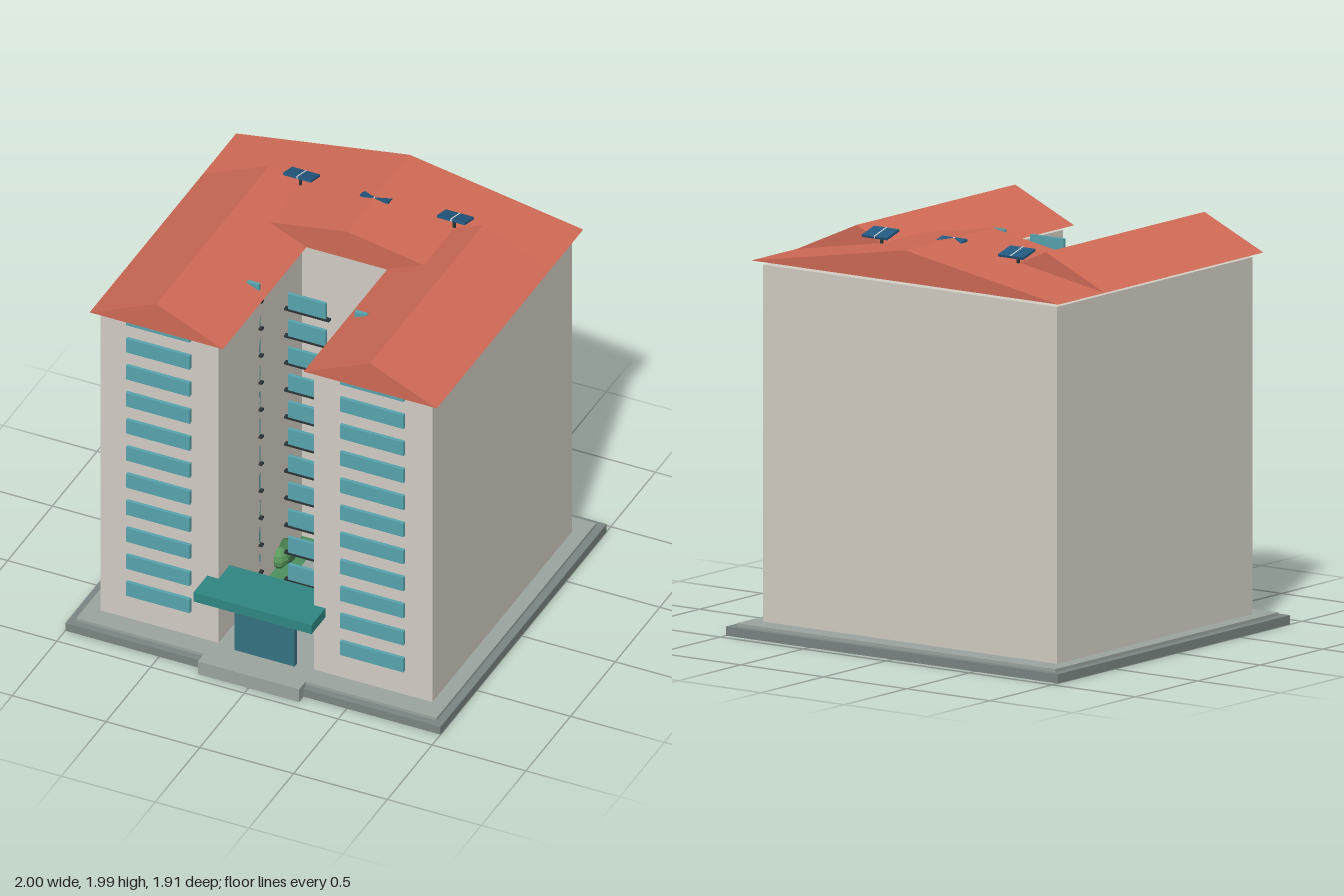
import * as THREE from 'three';

const mat = (color) => new THREE.MeshStandardMaterial({ color, flatShading: true });
const M = {
  wall: mat(0xd3cec5), roof: mat(0xd06a56), glass: mat(0x58a4ae), slab: mat(0x2c3436),
  base: mat(0x7b8683), paving: mat(0x9ca5a0), canopy: mat(0x2f8783), door: mat(0x357282),
  lawn: mat(0x4c9060), bush: mat(0x44794a), bushLight: mat(0x5a9a5c), gold: mat(0xcf9f4a),
  solar: mat(0x23587f), trim: mat(0xe4e8ea),
};

export function createModel() {
  const model = new THREE.Group();
  model.name = 'apartmentBlock';

  const add = (name, geometry, material, parent = model) => {
    const mesh = new THREE.Mesh(geometry, material);
    mesh.name = name;
    parent.add(mesh);
    return mesh;
  };
  // Box given by its limits on each axis
  const box = (name, material, [x0, x1], [y0, y1], [z0, z1], parent) => {
    const mesh = add(name, new THREE.BoxGeometry(x1 - x0, y1 - y0, z1 - z0), material, parent);
    mesh.position.set((x0 + x1) / 2, (y0 + y1) / 2, (z0 + z1) / 2);
    return mesh;
  };
  const polygon = (points) => new THREE.Shape(points.map(([x, y]) => new THREE.Vector2(x, y)));

  // Ground plates, entrance step and court lawn
  box('basePlate', M.base, [-1, 1], [0, 0.045], [-0.955, 0.905]);
  box('pavedPlate', M.paving, [-0.96, 0.96], [0.045, 0.06], [-0.92, 0.865]);
  box('entranceStep', M.paving, [-0.27, 0.27], [0, 0.075], [0.885, 0.955]);
  box('lawn', M.lawn, [-0.27, 0.27], [0.06, 0.09], [-0.2, 0.435]);

  // U-shaped building around the court, open to the front
  const plan = polygon([
    [-0.885, -0.755], [-0.255, -0.755], [-0.255, 0.18], [0.255, 0.18],
    [0.255, -0.755], [0.885, -0.755], [0.885, 0.81], [-0.885, 0.81],
  ]);
  const walls = add('walls', new THREE.ExtrudeGeometry(plan, { depth: 1.75, bevelEnabled: false }), M.wall);
  walls.rotation.x = -Math.PI / 2;
  walls.position.y = 0.06;

  // Gable roofs: a wide one at the back, one on each wing
  const gable = (name, x, halfWidth, z0, z1) => {
    const shape = polygon([[-halfWidth, 1.832], [halfWidth, 1.832], [0, 1.99]]);
    const roof = add(name, new THREE.ExtrudeGeometry(shape, { depth: z1 - z0, bevelEnabled: false }), M.roof);
    roof.position.set(x, 0, z0);
  };
  gable('backRoof', 0, 0.925, -0.85, -0.145);
  for (const s of [-1, 1]) gable('wingRoof', s * 0.57, 0.355, -0.48, 0.79);

  // Eleven floors: wing windows, glass panels and slabs in the court
  for (let i = 0; i < 11; i++) {
    const y = 0.24 + 0.16 * i;
    const floor = new THREE.Group();
    floor.name = 'floor' + (i + 1);
    model.add(floor);
    for (const s of [-1, 1]) {
      const span = (a, b) => (s > 0 ? [a, b] : [-b, -a]);
      box('wingWindow', M.glass, span(0.4, 0.74), [y - 0.038, y + 0.042], [0.75, 0.773], floor);
      box('sidePanel', M.glass, span(0.255, 0.32), [y - 0.045, y + 0.045], [0.285, 0.303], floor);
      box('sideSlab', M.slab, span(0.238, 0.335), [y - 0.06, y - 0.049], [0.282, 0.306], floor);
    }
    box('courtPanel', M.glass, [-0.1, 0.1], [y - 0.052, y + 0.04], [0.285, 0.303], floor);
    box('courtSlab', M.slab, [-0.12, 0.12], [y - 0.06, y - 0.049], [0.282, 0.306], floor);
  }
  box('atticGlazing', M.glass, [-0.81, 0.81], [1.8, 1.86], [-0.355, -0.335]);

  // Entrance
  box('door', M.door, [-0.16, 0.16], [0.06, 0.39], [0.745, 0.775]);
  box('canopy', M.canopy, [-0.315, 0.315], [0.387, 0.44], [0.63, 0.91]);

  // Garden ornament on a plinth
  box('plinth', M.paving, [-0.12, 0.12], [0.09, 0.14], [-0.11, 0.13]);
  add('post', new THREE.CylinderGeometry(0.025, 0.035, 0.28, 8), M.paving).position.set(0, 0.28, 0.01);
  add('goldenBall', new THREE.SphereGeometry(0.056, 10, 8), M.gold).position.set(0, 0.45, 0.01);

  // Bushes beside the court walls
  const bush = (x, y, z, r, h, material) => {
    const b = add('bush', new THREE.SphereGeometry(1, 8, 6), material);
    b.scale.set(r, h, r);
    b.position.set(x, y, z);
  };
  bush(-0.235, 0.15, 0.04, 0.056, 0.066, M.bush);
  bush(-0.25, 0.14, 0.09, 0.05, 0.058, M.bushLight);
  bush(0.255, 0.135, 0.11, 0.052, 0.052, M.bushLight);

  // Tilted roof panels on posts
  for (const x of [-0.41, 0, 0.41]) {
    const unit = new THREE.Group();
    unit.name = 'solarPanel';
    unit.position.set(x, 1.972, -0.5);
    model.add(unit);
    box('panelPost', M.slab, [-0.006, 0.006], [-0.06, 0], [0.005, 0.017], unit);
    const tray = new THREE.Group();
    tray.name = 'panelTray';
    tray.rotation.x = -0.28;
    unit.add(tray);
    box('panel', M.solar, [-0.075, 0.075], [-0.006, 0.006], [-0.052, 0.052], tray);
    box('panelStrip', M.trim, [-0.003, 0.003], [-0.005, 0.0075], [-0.052, 0.053], tray);
  }

  return model;
}
